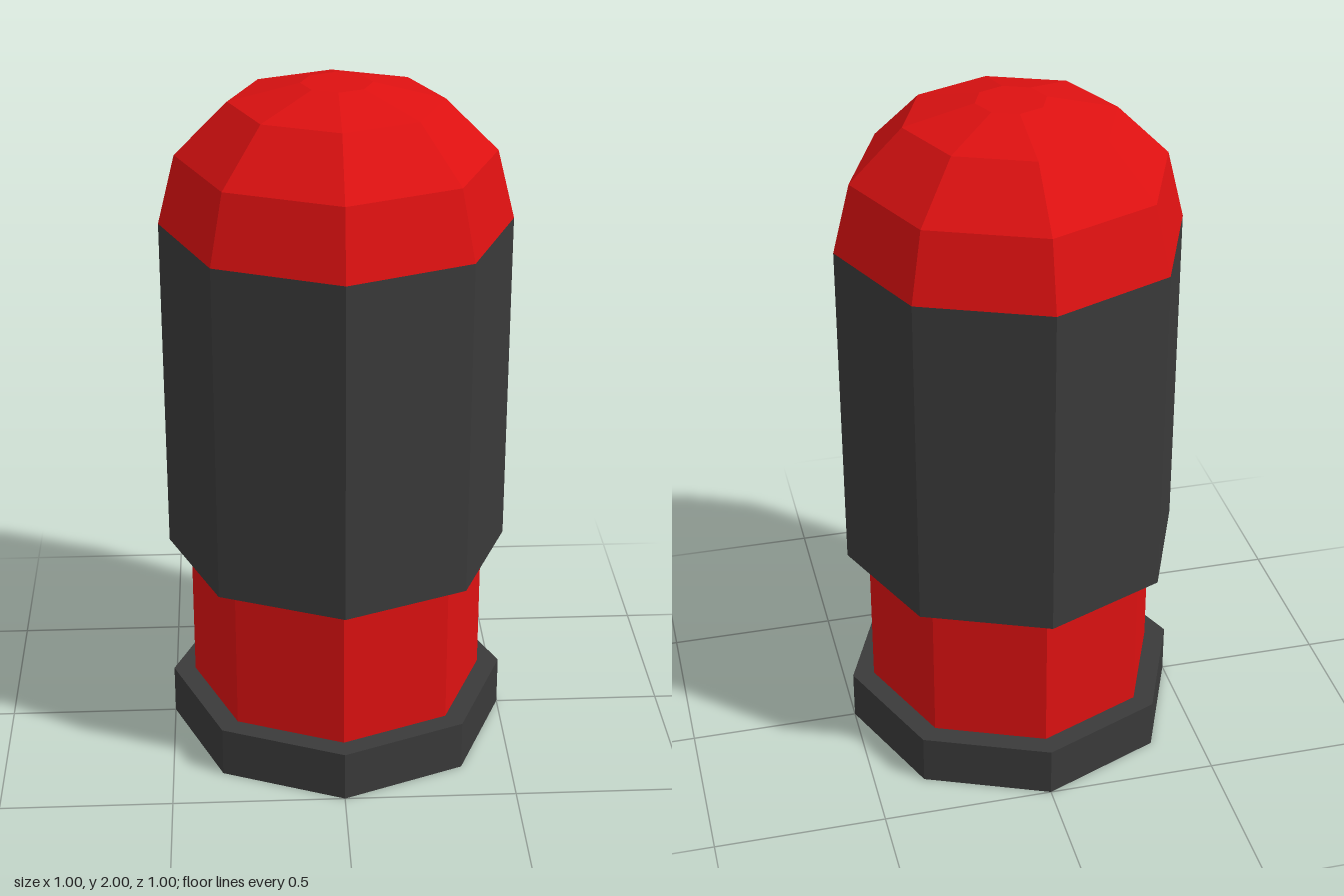
import * as THREE from 'three';

const SIDES = 8;

const red = new THREE.MeshStandardMaterial({ color: 0xdd1111, flatShading: true });
red.name = 'red';
const charcoal = new THREE.MeshStandardMaterial({ color: 0x3a3a3a, flatShading: true });
charcoal.name = 'charcoal';
const grey = new THREE.MeshStandardMaterial({ color: 0x777777, flatShading: true });
grey.name = 'grey';

// Eight-sided turned part; the profile lists [radius, height] from bottom to top
function turned(name, profile, material) {
  const points = profile.map(([r, y]) => new THREE.Vector2(r, y));
  const mesh = new THREE.Mesh(new THREE.LatheGeometry(points, SIDES), material);
  mesh.name = name;
  return mesh;
}

export function createModel() {
  const group = new THREE.Group();
  group.name = 'shell';

  // Base flange with a shallow recess underneath
  group.add(turned('baseRim', [
    [0.375, 0.05], [0.375, 0], [0.5, 0], [0.5, 0.15], [0.43, 0.15],
  ], charcoal));

  // Plate closing the recess, facing down
  group.add(turned('recessPlate', [[0, 0.05], [0.375, 0.05]], grey));

  // Narrow neck
  group.add(turned('neck', [[0.435, 0.15], [0.435, 0.6]], red));

  // Main casing with its underside step
  group.add(turned('casing', [[0.43, 0.6], [0.5, 0.6], [0.5, 1.6]], charcoal));

  // Faceted dome with a small flat top
  group.add(turned('domeTip', [
    [0.5, 1.6], [0.45, 1.8], [0.3, 1.95], [0.1, 2], [0, 2],
  ], red));

  return group;
}
